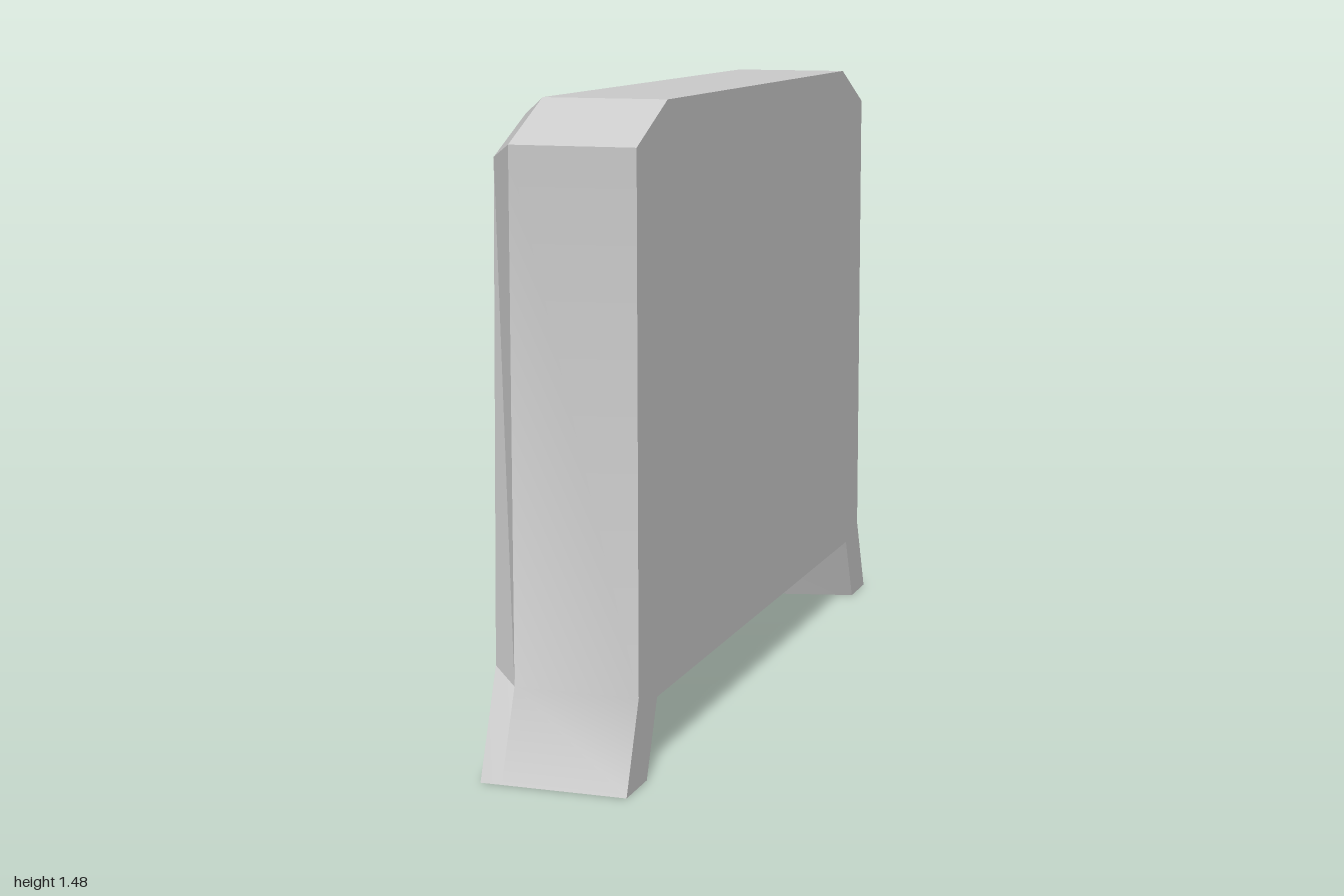
import * as THREE from 'three';
import { toCreasedNormals } from 'three/addons/utils/BufferGeometryUtils.js';

const BACK = 0.17, BEVEL = -0.12, FRONT = -0.17, CAVITY_BACK = 0.14;

// Closed outline [z, y] of the cabinet with splayed feet, mirrored from one half
function outline(half) {
  return [...half, ...half.slice().reverse().map(([z, y]) => [-z, y])];
}

// Half outlines run from the top, down the end and foot, to the underside
const backRing = outline([[0.72, 1.48], [0.92, 1.39], [0.92, 0.2], [1, 0], [0.87, 0], [0.8, 0.17]]);
const bevelRing = outline([[0.72, 1.48], [0.92, 1.39], [0.92, 0.2], [1, 0], [0.8, 0], [0.74, 0.153]]);
const frontRing = outline([[0.7, 1.44], [0.88, 1.36], [0.905, 0.24], [1, 0], [0.79, 0], [0.73, 0.15]]);

// Four walls or skin between two matching outlines; skipped segments stay open
function skin(ringA, xA, ringB, xB, skip = []) {
  const pos = [];
  const n = ringA.length;
  for (let i = 0; i < n; i++) {
    if (skip.includes(i)) continue;
    const j = (i + 1) % n;
    const a = [xA, ringA[i][1], ringA[i][0]], b = [xA, ringA[j][1], ringA[j][0]];
    const c = [xB, ringB[j][1], ringB[j][0]], d = [xB, ringB[i][1], ringB[i][0]];
    pos.push(...a, ...d, ...b, ...b, ...d, ...c);
  }
  const g = new THREE.BufferGeometry();
  g.setAttribute('position', new THREE.Float32BufferAttribute(pos, 3));
  return toCreasedNormals(g, 0.4);
}

// Flat face with optional holes, standing at x and facing -x (or +x)
function face(ring, x, holes = [], facingPlus = false) {
  const toPoints = (r) => r.map(([z, y]) => new THREE.Vector2(facingPlus ? -z : z, y));
  const shape = new THREE.Shape(toPoints(ring));
  shape.holes = holes.map((h) => new THREE.Path(toPoints(h)));
  const g = new THREE.ShapeGeometry(shape);
  g.rotateY(facingPlus ? Math.PI / 2 : -Math.PI / 2);
  g.translate(x, 0, 0);
  return g;
}

// Shelf opening whose width narrows slightly with height
function opening(y0, y1) {
  const w = (y) => 0.845 - 0.052 * (y - 0.24);
  return [[w(y1), y1], [w(y0), y0], [-w(y0), y0], [-w(y1), y1]];
}

export function createModel() {
  const group = new THREE.Group();
  const material = new THREE.MeshStandardMaterial({ color: 0xcccccc, side: THREE.DoubleSide });
  const add = (name, geometry, parent = group) => {
    const mesh = new THREE.Mesh(geometry, material);
    mesh.name = name;
    parent.add(mesh);
  };

  // Outer shell; the feet are open underneath
  const footSoles = [3, 7];
  add('outerShell', skin(backRing, BACK, bevelRing, BEVEL, footSoles));
  add('bevelledRim', skin(bevelRing, BEVEL, frontRing, FRONT, footSoles));
  add('backPanel', face(backRing, BACK, [], true));

  // Open side with three shelf bays
  const bays = [[0.24, 0.56], [0.6, 0.96], [1.0, 1.35]].map(([a, b]) => opening(a, b));
  add('shelfFrame', face(frontRing, FRONT, bays));
  bays.forEach((bay, i) => {
    const bayGroup = new THREE.Group();
    bayGroup.name = `shelfBay${i + 1}`;
    add('bayWalls', skin(bay, FRONT, bay, CAVITY_BACK), bayGroup);
    add('bayBack', face(bay, CAVITY_BACK), bayGroup);
    group.add(bayGroup);
  });

  return group;
}
